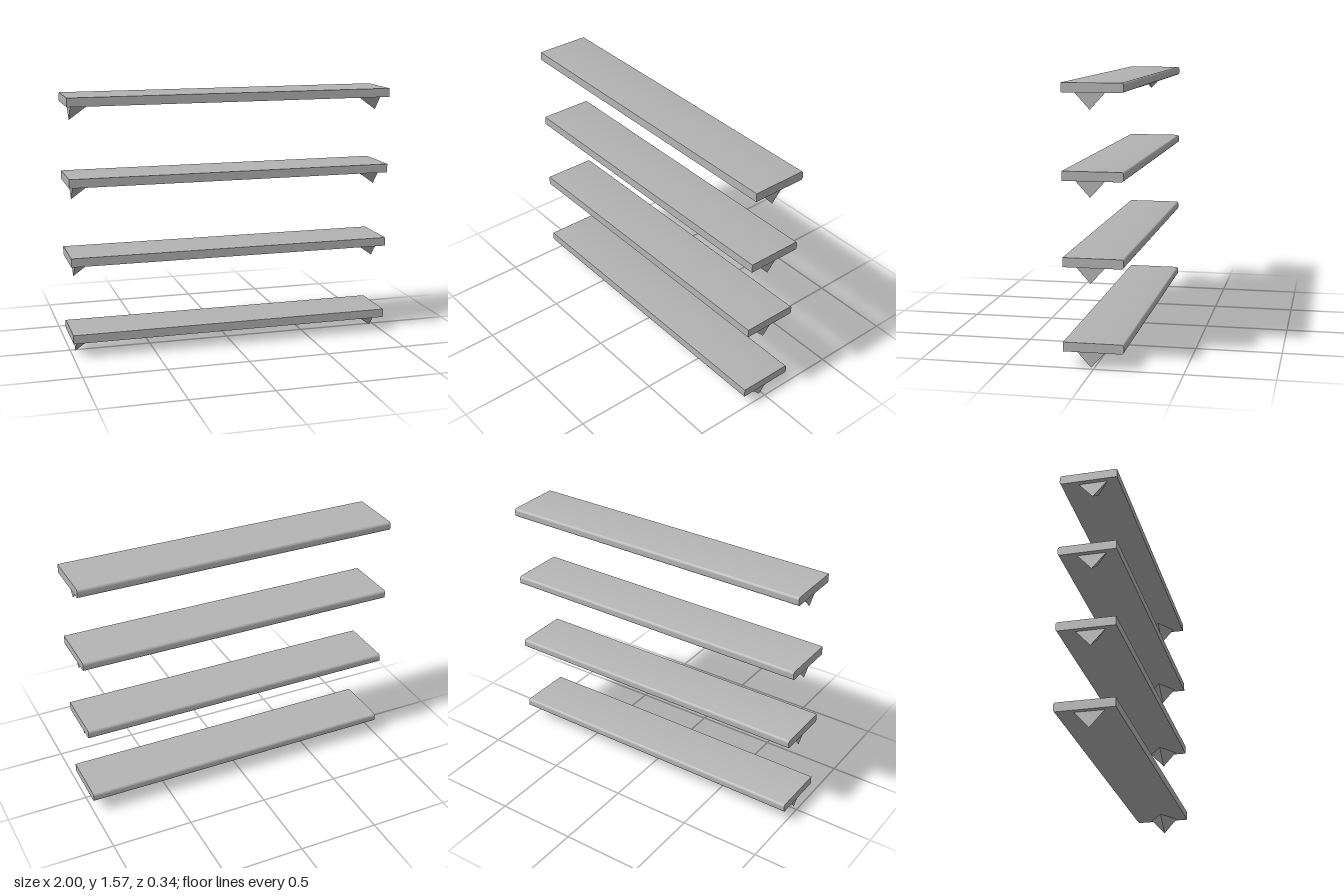
import * as THREE from 'three';
import { toCreasedNormals } from 'three/addons/utils/BufferGeometryUtils.js';

const LENGTH = 2, THICK = 0.053, DROP = 0.093, SPACING = 0.474;
const HALF_DEPTH = 0.17, ROUND = 0.014;

// Board section (u = -z): square front edge, rounded back edge
function boardGeometry() {
  const b = HALF_DEPTH, r = ROUND, t = THICK;
  const s = new THREE.Shape();
  s.moveTo(-b, 0);
  s.lineTo(b - r, 0);
  s.absarc(b - r, r, r, -Math.PI / 2, 0, false);
  s.lineTo(b, t - r);
  s.absarc(b - r, t - r, r, 0, Math.PI / 2, false);
  s.lineTo(-b, t);
  s.closePath();
  const g = new THREE.ExtrudeGeometry(s, { depth: LENGTH, bevelEnabled: false, curveSegments: 6 });
  g.translate(0, 0, -LENGTH / 2);
  g.rotateY(Math.PI / 2);
  return toCreasedNormals(g, 0.5);
}

// Four-sided bracket: upright outer face, tapering inward under the board
function bracketGeometry(side) {
  const front = [0.97 * side, 0, 0.105];
  const back = [0.97 * side, 0, -0.065];
  const inner = [0.84 * side, 0, 0.02];
  const tip = [0.97 * side, -DROP, 0.02];
  const faces = [[front, back, inner], [front, tip, back], [back, tip, inner], [inner, tip, front]];
  const points = faces.flatMap(f => (side > 0 ? f : [f[0], f[2], f[1]])).flat();
  const g = new THREE.BufferGeometry();
  g.setAttribute('position', new THREE.Float32BufferAttribute(points, 3));
  g.computeVertexNormals();
  return g;
}

export function createModel() {
  const model = new THREE.Group();
  model.name = 'shelves';
  const grey = new THREE.MeshStandardMaterial({ color: 0xb4b4b4 });
  grey.name = 'grey';

  const parts = [
    ['board', boardGeometry()],
    ['leftBracket', bracketGeometry(1)],
    ['rightBracket', bracketGeometry(-1)],
  ];

  // Four identical shelves, evenly stacked
  for (let i = 0; i < 4; i++) {
    const shelf = new THREE.Group();
    shelf.name = `shelf${i + 1}`;
    shelf.position.y = DROP + i * SPACING;
    for (const [name, geometry] of parts) {
      const mesh = new THREE.Mesh(geometry, grey);
      mesh.name = name;
      shelf.add(mesh);
    }
    model.add(shelf);
  }
  return model;
}
